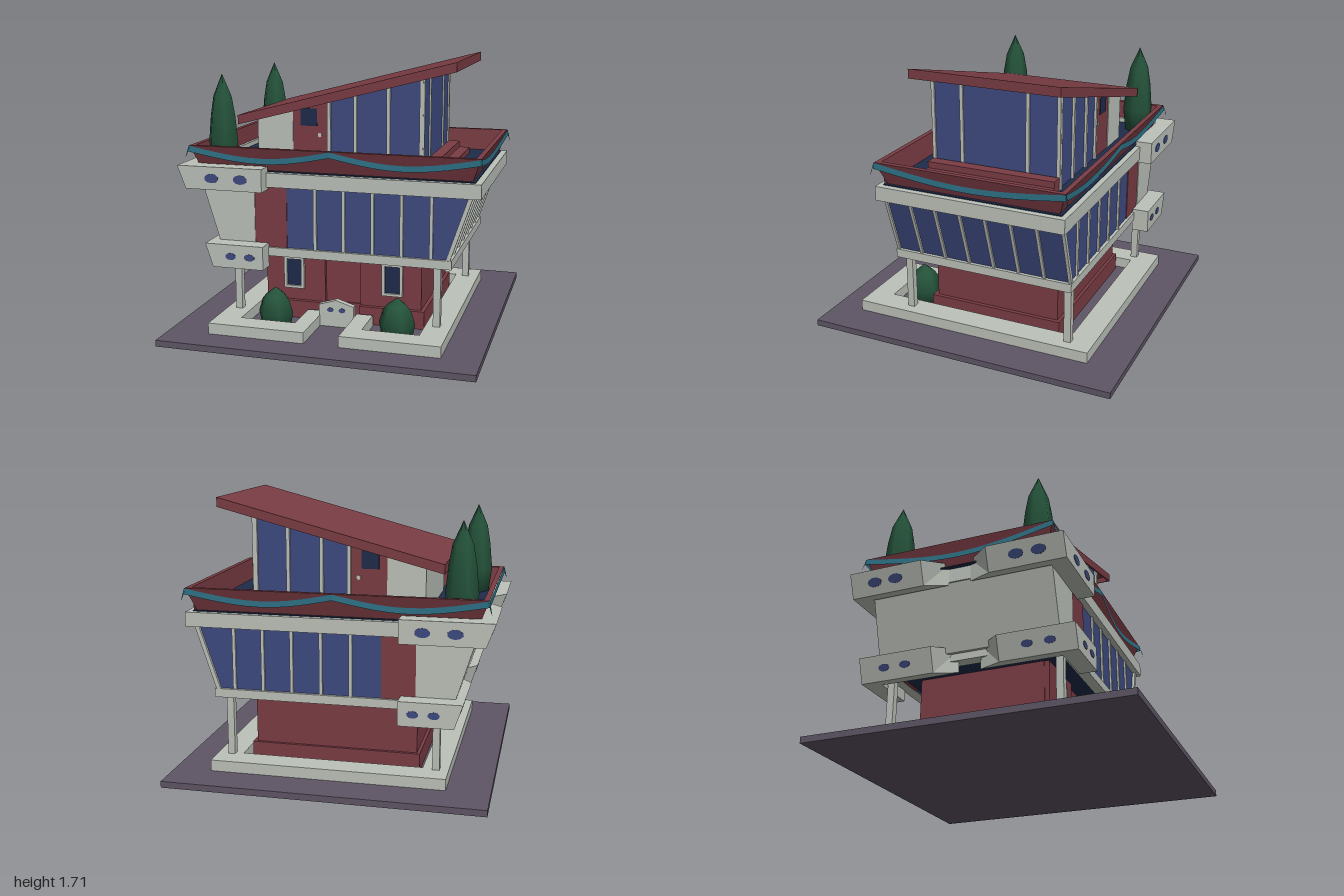
import * as THREE from 'three';

export function createModel() {
  const root = new THREE.Group();
  root.name = 'house';
  const mat = (name, color) => {
    const m = new THREE.MeshStandardMaterial({ color });
    m.name = name;
    return m;
  };
  const red = mat('brick red', 0x7a3c44), stone = mat('pale stone', 0xbcc1b9), blue = mat('glass blue', 0x3e4a80);
  const navy = mat('dark navy', 0x1f2b4a), green = mat('leaf green', 0x24523a), teal = mat('trim teal', 0x2c6e82);
  const paving = mat('paving purple', 0x5e5565);
  teal.side = THREE.DoubleSide;
  const MID = -0.07; // the building is mirrored front to back about this z

  const add = (name, geo, m) => {
    const mesh = new THREE.Mesh(geo, m);
    mesh.name = name;
    root.add(mesh);
    return mesh;
  };
  const box = (name, m, x0, x1, y0, y1, z0, z1) => {
    const g = new THREE.BoxGeometry(x1 - x0, y1 - y0, z1 - z0);
    return add(name, g.translate((x0 + x1) / 2, (y0 + y1) / 2, (z0 + z1) / 2), m);
  };
  const outline = (pts) => new THREE.Shape(pts.map(([x, y]) => new THREE.Vector2(x, y)));
  // side outline in x and y, extruded along z
  const prism = (name, m, pts, z0, z1) =>
    add(name, new THREE.ExtrudeGeometry(outline(pts), { depth: z1 - z0, bevelEnabled: false }).translate(0, 0, z0), m);
  // plan outline in x and z, extruded upwards
  const plan = (name, m, pts, y0, y1, holes = []) => {
    const flip = (p) => p.map(([x, z]) => [x, -z]);
    const s = outline(flip(pts));
    s.holes = holes.map((h) => outline(flip(h)));
    const g = new THREE.ExtrudeGeometry(s, { depth: y1 - y0, bevelEnabled: false });
    return add(name, g.rotateX(-Math.PI / 2).translate(0, y0, 0), m);
  };
  const rect = (x0, x1, z0, z1) => [[x0, z0], [x1, z0], [x1, z1], [x0, z1]];
  // z range measured from the front (s = 1) or mirrored to the back (s = -1)
  const zr = (s, a, b) => (s > 0 ? [a, b] : [2 * MID - b, 2 * MID - a]);

  // ground and curb with front planters
  box('ground', paving, -0.98, 0.98, 0, 0.04, -1, 1);
  plan('curb', stone, [[-0.715, -0.77], [0.745, -0.77], [0.745, 0.81], [0.125, 0.81], [0.125, 0.4], [0.23, 0.4], [0.23, 0.66],
    [0.585, 0.66], [0.585, -0.61], [-0.555, -0.61], [-0.555, 0.66], [-0.2, 0.66], [-0.2, 0.4], [-0.095, 0.4],
    [-0.095, 0.81], [-0.715, 0.81]], 0.04, 0.11);

  // lower storey with a shallow entrance recess
  box('lowerStorey', red, -0.5, 0.53, 0.04, 0.5, -0.49, 0.32);
  box('lowerPlinth', red, -0.52, 0.555, 0.04, 0.155, -0.51, 0.33);
  for (const [a, b, pa, pb] of [[-0.495, -0.1, -0.52, -0.1], [0.135, 0.53, 0.135, 0.555]]) {
    box('frontWall', red, a, b, 0.04, 0.5, 0.31, 0.35);
    box('frontPlinth', red, pa, pb, 0.04, 0.155, 0.31, 0.38);
  }
  for (const x of [-0.305, 0.345]) {
    for (const s of [-1, 1]) {
      box('windowJamb', stone, x + s * 0.0575 - 0.0095, x + s * 0.0575 + 0.0095, 0.235, 0.445, 0.345, 0.37);
      box('windowRail', stone, x - 0.05, x + 0.05, 0.34 + s * 0.0965 - 0.0085, 0.34 + s * 0.0965 + 0.0085, 0.345, 0.37);
    }
    box('windowPane', navy, x - 0.05, x + 0.05, 0.245, 0.435, 0.35, 0.356);
  }

  // thin oval plate facing front or back
  const ovalZ = (name, m, x, y, z, rx, ry) =>
    add(name, new THREE.CylinderGeometry(1, 1, 0.006, 10).rotateX(Math.PI / 2).scale(rx, ry, 1).translate(x, y, z), m);

  // garden gate
  prism('gate', stone, [[-0.1, 0.04], [0.125, 0.04], [0.125, 0.18], [0.01, 0.215], [-0.1, 0.18]], 0.44, 0.48);
  for (const x of [-0.025, 0.05]) ovalZ('gateOrnament', blue, x, 0.15, 0.48, 0.022, 0.015);

  // posts
  for (const x of [-0.637, 0.655]) for (const s of [1, -1]) box('post', stone, x - 0.022, x + 0.022, 0.11, 0.5, ...zr(s, 0.45, 0.495));

  // middle slab: open frame with dark floor
  plan('middleSlab', stone, rect(-0.72, 0.745, -0.66, 0.52), 0.485, 0.54, [rect(-0.64, 0.67, -0.59, 0.45)]);
  box('middleFloor', navy, -0.65, 0.68, 0.515, 0.538, -0.6, 0.46);

  // middle storey: stone end, red bay, leaning glass
  prism('stoneEnd', stone, [[-0.74, 0.53], [-0.51, 0.53], [-0.51, 0.94], [-0.865, 0.94]], -0.65, 0.51);
  box('redBay', red, -0.51, -0.3, 0.53, 0.94, -0.645, 0.505);
  prism('middleGlass', blue, [[-0.3, 0.53], [0.72, 0.53], [0.855, 0.94], [-0.3, 0.94]], -0.64, 0.5);
  for (const s of [1, -1])
    for (const x of [-0.115, 0.069, 0.252, 0.434, 0.617]) box('mullion', stone, x - 0.01, x + 0.01, 0.54, 0.93, ...zr(s, 0.495, 0.512));
  for (let i = 0; i < 8; i++) {
    const z = 0.508 - i * 0.1651;
    prism('leaningMullion', stone, [[0.705, 0.53], [0.732, 0.53], [0.867, 0.94], [0.84, 0.94]], z - 0.01, z + 0.01);
  }

  // upper slab and roof deck
  box('upperSlab', stone, -0.87, 0.915, 0.93, 1.02, -0.68, 0.54);
  box('deck', navy, -0.895, 0.875, 1.018, 1.026, -0.645, 0.505);

  // wrapped stone balconies with oval openings on the left end
  const balcony = (s, xt, xb, y0, y1, xi, spots, size) => {
    const zi = 0.51;
    prism('balconyFace', stone, [[xb, y0], [-0.42, y0], [-0.42, y1], [xt, y1]], ...zr(s, zi, 0.62));
    const [z0, z1] = zr(s, 0, zi);
    const side = prism('balconySide', stone, [[xb, y0], [xi, y0], [xi, y1], [xt, y1]], z0, z1);
    const p = side.geometry.attributes.position;
    for (let i = 0; i < p.count; i++)
      if (Math.abs(p.getZ(i) - MID) < 0.1 && p.getX(i) < xi - 0.01) p.setZ(i, p.getZ(i) + s * 0.14);
    side.geometry.computeVertexNormals();
    const ym = (y0 + y1) / 2;
    for (const x of spots) ovalZ('balconyOpening', blue, x, ym, MID + s * 0.69, 0.045 * size, 0.028 * size);
    for (const d of [0.32, 0.46]) {
      const g = new THREE.CylinderGeometry(1, 1, 0.006, 10).scale(0.028 * size, 1, 0.045 * size);
      g.rotateZ(Math.PI / 2 + Math.atan2(xb - xt, y1 - y0));
      add('balconySideOpening', g.translate((xt + xb) / 2, ym, MID + s * (d + 0.07)), blue);
    }
  };
  for (const s of [1, -1]) {
    balcony(s, -0.98, -0.925, 0.91, 1.055, -0.87, [-0.75, -0.56], 1.05);
    balcony(s, -0.805, -0.755, 0.415, 0.565, -0.7, [-0.635, -0.51], 0.8);
  }

  // parapet with flared outside and upright inside, carried round a rectangle
  const corner = (i, d) => [i === 0 || i === 3 ? -0.93 - d : 0.91 + d, i < 2 ? 0.54 + d : -0.68 - d];
  const quads = (name, m, list) => {
    const v = [];
    for (const [a, b, c, d] of list) v.push(...a, ...b, ...c, ...a, ...c, ...d);
    const g = new THREE.BufferGeometry();
    g.setAttribute('position', new THREE.Float32BufferAttribute(v, 3));
    g.computeVertexNormals();
    return add(name, g, m);
  };
  const section = [[-0.055, 1.02], [0, 1.17], [-0.032, 1.17], [-0.04, 1.02]];
  const walls = [];
  for (let i = 0; i < 4; i++)
    for (let k = 0; k < 3; k++) {
      const at = (c, [d, y]) => { const [x, z] = corner(c % 4, d); return [x, y, z]; };
      const [p, q] = [section[k], section[k + 1]];
      walls.push([at(i, p), at(i + 1, p), at(i + 1, q), at(i, q)]);
    }
  quads('parapet', red, walls);

  // draped trim: two swags on long sides, one on short sides, with a small tail at each corner
  const swags = [];
  for (let i = 0; i < 4; i++) {
    const n = 20, count = i % 2 ? 1 : 2;
    const at = (t, drop) => {
      const top = 1.168 - 0.065 * Math.sin(Math.PI * ((t * count) % 1));
      const d = (top - 1.17) * 0.367 + 0.004 + drop * 0.1;
      const a = corner(i, d), b = corner((i + 1) % 4, d);
      return [a[0] + (b[0] - a[0]) * t, top - drop, a[1] + (b[1] - a[1]) * t];
    };
    for (let k = 0; k < n; k++) swags.push([at(k / n, 0.036), at((k + 1) / n, 0.036), at((k + 1) / n, 0), at(k / n, 0)]);
    const [x, z] = corner(i, 0.003), [u, w] = corner(i, 0.02), inward = -0.01 * Math.sign(x);
    swags.push([[u, 1.09, w], [u + inward, 1.11, w], [x + inward, 1.168, z], [x, 1.168, z]]);
  }
  quads('drapedTrim', teal, swags);

  // penthouse under the sloping roof
  const under = (x) => 1.328 + (x + 0.66) * 0.259;
  const bay = (name, m, x0, x1, z0, z1) =>
    prism(name, m, [[x0, 1.022], [x1, 1.022], [x1, under(x1) + 0.005], [x0, under(x0) + 0.005]], z0, z1);
  bay('penthouseStone', stone, -0.54, -0.305, -0.49, 0.35);
  bay('penthouseDoorBay', red, -0.305, -0.08, -0.485, 0.345);
  bay('penthouseGlass', blue, -0.08, 0.525, -0.48, 0.34);
  for (const s of [1, -1]) {
    for (const x of [-0.07, 0.1, 0.31, 0.515]) bay('penthouseMullion', stone, x - 0.011, x + 0.011, ...zr(s, 0.335, 0.355));
    box('doorWindow', navy, -0.255, -0.147, 1.295, 1.405, ...zr(s, 0.342, 0.349));
    ovalZ('doorKnob', stone, -0.13, 1.24, MID + s * 0.416, 0.013, 0.014);
  }
  for (const z of [0.343, 0.15, -0.285, -0.483]) bay('penthouseSideMullion', stone, 0.51, 0.535, z - 0.011, z + 0.011);

  // sloping roof: thin sheet with a hanging rim
  const sheet = (name, x0, x1, low, z0, z1) => {
    const y = (x) => 1.35 + (x + 0.66) * 0.2605;
    prism(name, red, [[x0, y(x0) - low], [x1, y(x1) - low], [x1, y(x1)], [x0, y(x0)]], z0, z1);
  };
  sheet('roofSheet', -0.66, 0.73, 0.02, -0.57, 0.39);
  for (const z of [-0.57, 0.378]) sheet('roofSideRim', -0.66, 0.73, 0.058, z, z + 0.012);
  for (const x of [-0.66, 0.718]) sheet('roofEndRim', x, x + 0.012, 0.058, -0.57, 0.39);

  // deck steps beside the penthouse
  box('upperStep', red, 0.535, 0.61, 1.022, 1.105, -0.49, 0.35);
  box('lowerStep', red, 0.61, 0.68, 1.022, 1.065, -0.49, 0.35);

  // six-sided cypresses and bushes
  const plant = (name, pts, x, z) => {
    const g = new THREE.LatheGeometry(pts.map(([r, y]) => new THREE.Vector2(r, y)), 6, Math.PI / 2);
    return add(name, g.translate(x, 0, z), green);
  };
  for (const z of [-0.545, 0.39])
    plant('cypress', [[0, 1.027], [0.08, 1.027], [0.1, 1.18], [0.083, 1.35], [0.062, 1.47], [0, 1.61]], -0.76, z);
  for (const x of [-0.375, 0.415])
    plant('bush', [[0, 0.001], [0.09, 0.001], [0.115, 0.12], [0.09, 0.2], [0.065, 0.235], [0, 0.285]], x, 0.52);

  return root;
}
